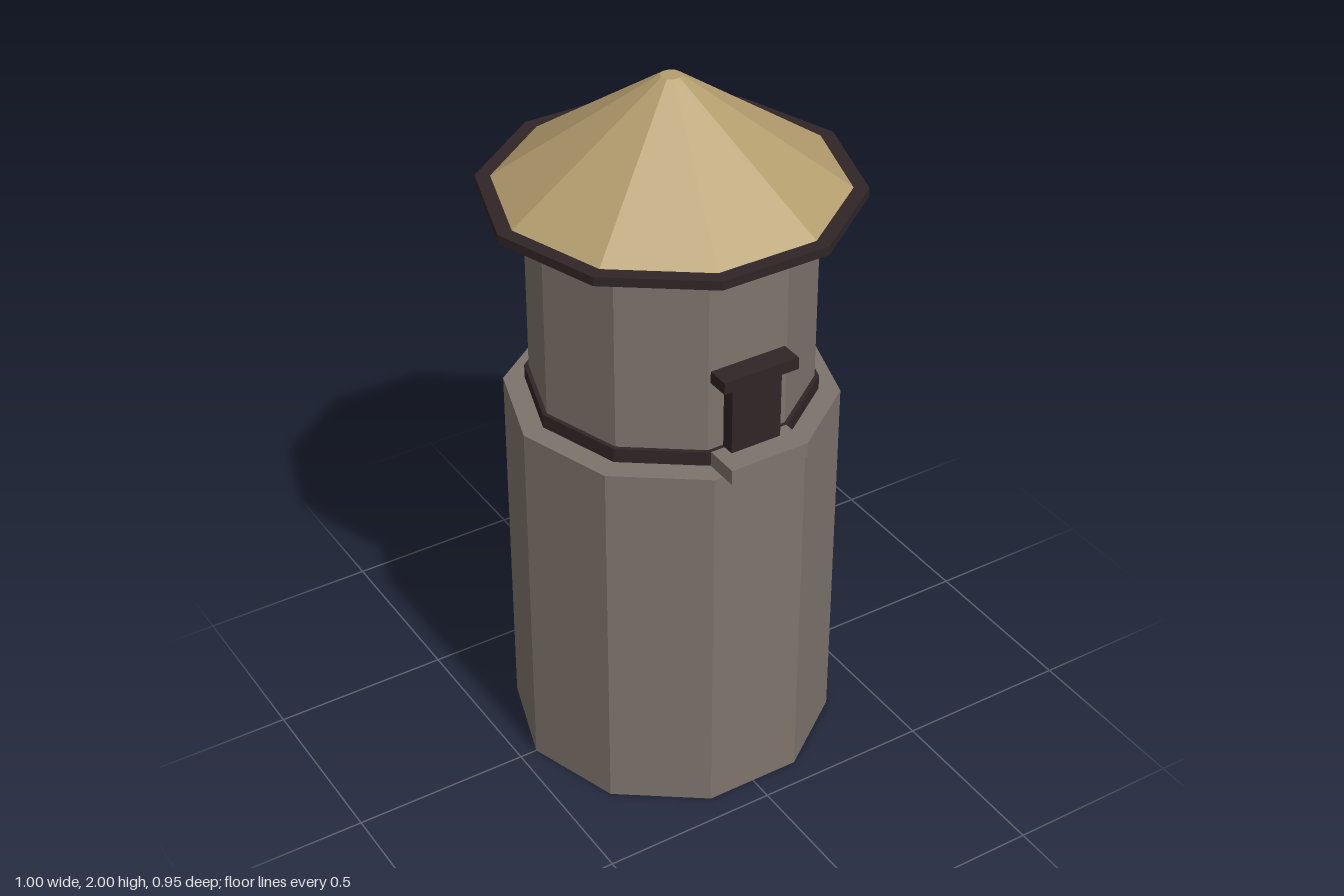
import * as THREE from 'three';

const mat = (name, color) => {
  const m = new THREE.MeshStandardMaterial({ color, flatShading: true, side: THREE.DoubleSide });
  m.name = name;
  return m;
};

export function createModel() {
  const group = new THREE.Group();
  const stone = mat('stone', 0x7d736b);
  const timber = mat('darkTimber', 0x302526);
  const thatch = mat('thatch', 0xb49e6e);

  const add = (name, geometry, material) => {
    const mesh = new THREE.Mesh(geometry, material);
    mesh.name = name;
    group.add(mesh);
    return mesh;
  };

  // Ten-sided shell with a corner on the x axis, from [radius, height] points
  const shell = (name, points, material) => add(name,
    new THREE.LatheGeometry(points.map(([r, y]) => new THREE.Vector2(r, y)), 10, Math.PI / 10),
    material);

  // Ten-sided band with a rectangular section
  const band = (name, inner, outer, y0, y1) => shell(name,
    [[inner, y0], [outer, y0], [outer, y1], [inner, y1], [inner, y0]], timber);

  // Box given by half width, heights and depth range
  const block = (name, halfWidth, y0, y1, z0, z1, material) =>
    add(name, new THREE.BoxGeometry(halfWidth * 2, y1 - y0, z1 - z0), material)
      .position.set(0, (y0 + y1) / 2, (z0 + z1) / 2);

  // Tower walls: the base is open underneath
  shell('towerBase', [[0.45, 0], [0.45, 1.085], [0, 1.085]], stone);
  shell('upperDrum', [[0.38, 1.085], [0.38, 1.675]], stone);

  // Timber bands
  band('lowerTrim', 0.375, 0.392, 1.09, 1.13);
  band('eavesBand', 0.375, 0.41, 1.64, 1.675);
  band('roofRim', 0.457, 0.5, 1.675, 1.7);

  // Roof with a small flat tip
  shell('roof', [[0.46, 1.7], [0.028, 2], [0, 2]], thatch);

  // Doorway at the front
  block('door', 0.074, 1.13, 1.325, 0.366, 0.405, timber);
  block('lintel', 0.111, 1.332, 1.366, 0.36, 0.425, timber);
  block('doorstep', 0.115, 1.087, 1.13, 0.37, 0.47, stone);

  // Small vent at the back
  block('vent', 0.033, 1.47, 1.52, -0.39, -0.362, timber);

  return group;
}
